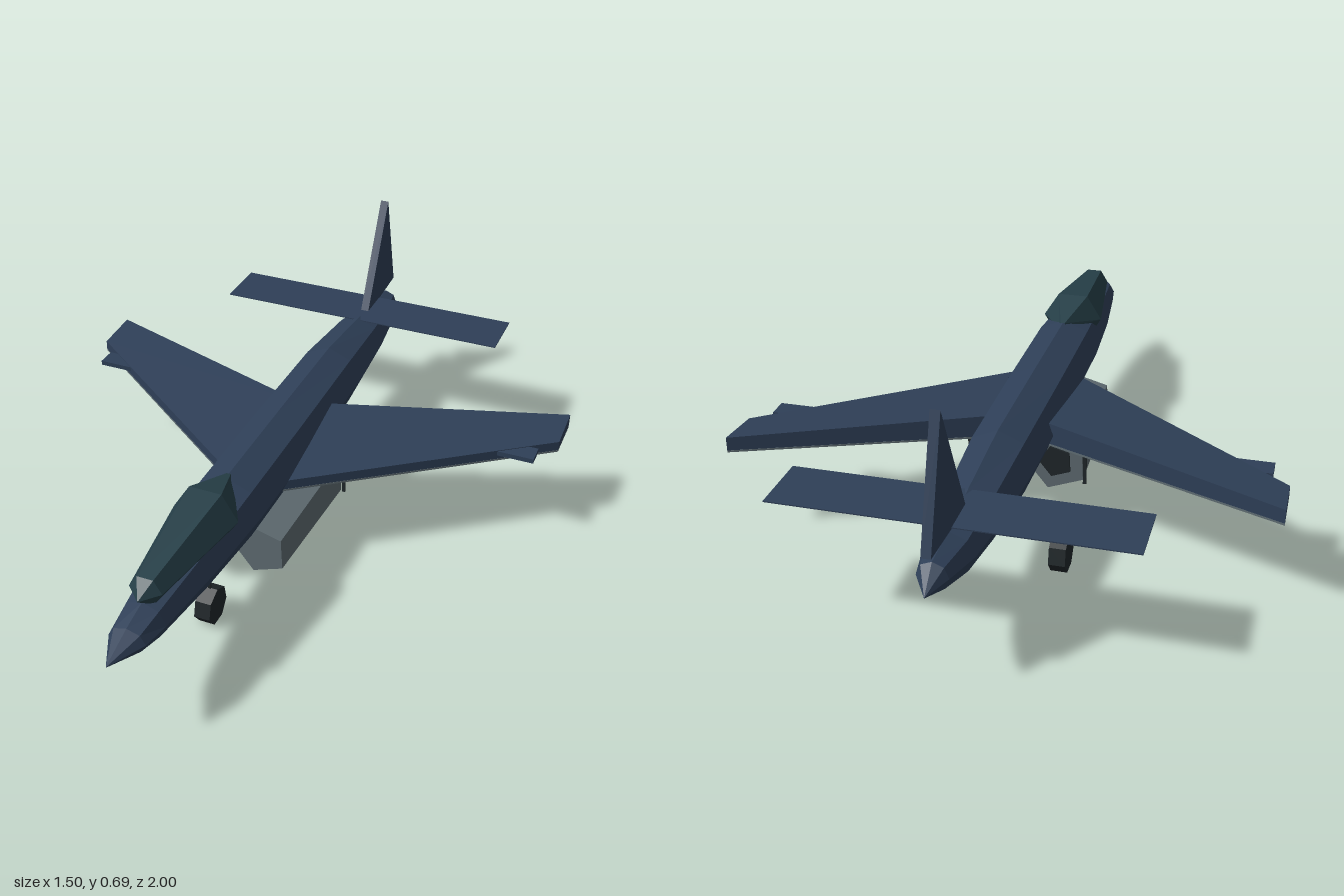
import * as THREE from 'three';

const paint = (color) => new THREE.MeshStandardMaterial({ color, flatShading: true, side: THREE.DoubleSide });
const blue = paint(0x2e3f57), glass = paint(0x263f48), grey = paint(0x5f6c72), black = paint(0x20272a);

// Loft through elliptical rings [z, centre y, half width, half height], nose to tail
function loft(rings, sides, turn = 0) {
  const pos = [], index = [];
  for (const [z, cy, rx, ry] of rings) {
    for (let j = 0; j < sides; j++) {
      const a = turn + (j / sides) * Math.PI * 2;
      pos.push(rx * Math.cos(a), cy + ry * Math.sin(a), z);
    }
  }
  for (let i = 0; i < rings.length - 1; i++) {
    for (let j = 0; j < sides; j++) {
      const k = (j + 1) % sides;
      const a = i * sides + j, b = i * sides + k, c = a + sides, d = b + sides;
      index.push(a, c, b, b, c, d);
    }
  }
  const g = new THREE.BufferGeometry();
  g.setAttribute('position', new THREE.Float32BufferAttribute(pos, 3));
  g.setIndex(index);
  g.computeVertexNormals();
  return g;
}

// Swept, tapered wing pair: a box folded at the centre line
function sweptWing(bottom, topAt) {
  const g = new THREE.BoxGeometry(1.5, 1, 1, 2, 1, 1);
  const p = g.attributes.position;
  for (let i = 0; i < p.count; i++) {
    const t = Math.abs(p.getX(i)) / 0.75, lead = p.getZ(i) > 0;
    const z = lead ? THREE.MathUtils.lerp(0.245, -0.32, t) : THREE.MathUtils.lerp(-0.17, -0.46, t);
    p.setZ(i, z);
    p.setY(i, p.getY(i) > 0 ? topAt(t, lead) : bottom);
  }
  g.computeVertexNormals();
  return g;
}

export function createModel() {
  const model = new THREE.Group();
  const add = (name, geometry, material, x = 0, y = 0, z = 0) => {
    const m = new THREE.Mesh(geometry, material);
    m.name = name;
    m.position.set(x, y, z);
    model.add(m);
    return m;
  };

  // Body and canopy
  add('fuselage', loft([
    [1, 0.29, 0.001, 0.001], [0.9, 0.29, 0.05, 0.035], [0.82, 0.288, 0.062, 0.055],
    [0.6, 0.295, 0.088, 0.08], [0.35, 0.3, 0.104, 0.1], [0, 0.3, 0.104, 0.102],
    [-0.4, 0.3, 0.1, 0.102], [-0.66, 0.297, 0.085, 0.08], [-0.82, 0.293, 0.065, 0.06],
    [-0.94, 0.307, 0.04, 0.04], [-1, 0.29, 0.001, 0.001],
  ], 8), blue);
  add('canopy', loft([
    [0.84, 0.36, 0.002, 0.002], [0.8, 0.365, 0.045, 0.042], [0.47, 0.365, 0.092, 0.085],
    [0.33, 0.385, 0.012, 0.018],
  ], 6), glass);

  // Wings with a grey underside and small outboard pods
  add('wings', sweptWing(0.272, (t, lead) => lead
    ? 0.3 : THREE.MathUtils.lerp(0.337, 0.311, t)), blue);
  add('wingUnderside', sweptWing(0.266, () => 0.2715), grey);
  for (const s of [-1, 1]) {
    add('wingPod', new THREE.BoxGeometry(0.11, 0.014, 0.06), blue, s * 0.648, 0.291, -0.235);
  }

  // Tail surfaces
  add('tailplane', new THREE.BoxGeometry(0.92, 0.003, 0.175), blue, 0, 0.372, -0.745);
  const finShape = new THREE.Shape([[0.72, 0.362], [0.98, 0.38], [0.88, 0.7]].map((p) => new THREE.Vector2(...p)));
  const finGeometry = new THREE.ExtrudeGeometry(finShape, { depth: 0.025, bevelEnabled: false });
  finGeometry.translate(0, 0, -0.0125).rotateY(Math.PI / 2);
  add('tailFin', finGeometry, blue);

  // Five-sided engines flaring to the rear, each with a dark exhaust
  for (const s of [-1, 1]) {
    const turn = THREE.MathUtils.degToRad(-15);
    const engine = new THREE.Group();
    engine.name = 'engine';
    const parts = [
      ['engineBody', 0.079, 0.094, 0.42, 0.11, grey],
      ['exhaust', 0.05, 0.05, 0.008, -0.102, black],
    ];
    for (const [name, front, back, length, z, material] of parts) {
      const g = new THREE.CylinderGeometry(front, back, length, 5);
      g.rotateX(Math.PI / 2).rotateZ(s * turn);
      const m = new THREE.Mesh(g, material);
      m.name = name;
      m.position.z = z;
      engine.add(m);
    }
    engine.position.set(s * 0.085, 0.16, 0);
    model.add(engine);
  }

  // Landing gear
  const wheelGeometry = new THREE.CylinderGeometry(0.055, 0.055, 0.046, 7);
  wheelGeometry.rotateZ(Math.PI / 2).rotateX(0.22);
  for (const [name, x, z] of [['noseWheel', 0, 0.465], ['mainWheel', -0.17, -0.395], ['mainWheel', 0.17, -0.395]]) {
    add(name, wheelGeometry, black, x, 0.056, z);
  }
  add('noseStrut', new THREE.BoxGeometry(0.008, 0.14, 0.004), black, 0, 0.16, 0.465);
  for (const s of [-1, 1]) {
    add('mainStrut', new THREE.BoxGeometry(0.01, 0.13, 0.004), black, s * 0.17, 0.165, -0.105);
  }
  return model;
}
